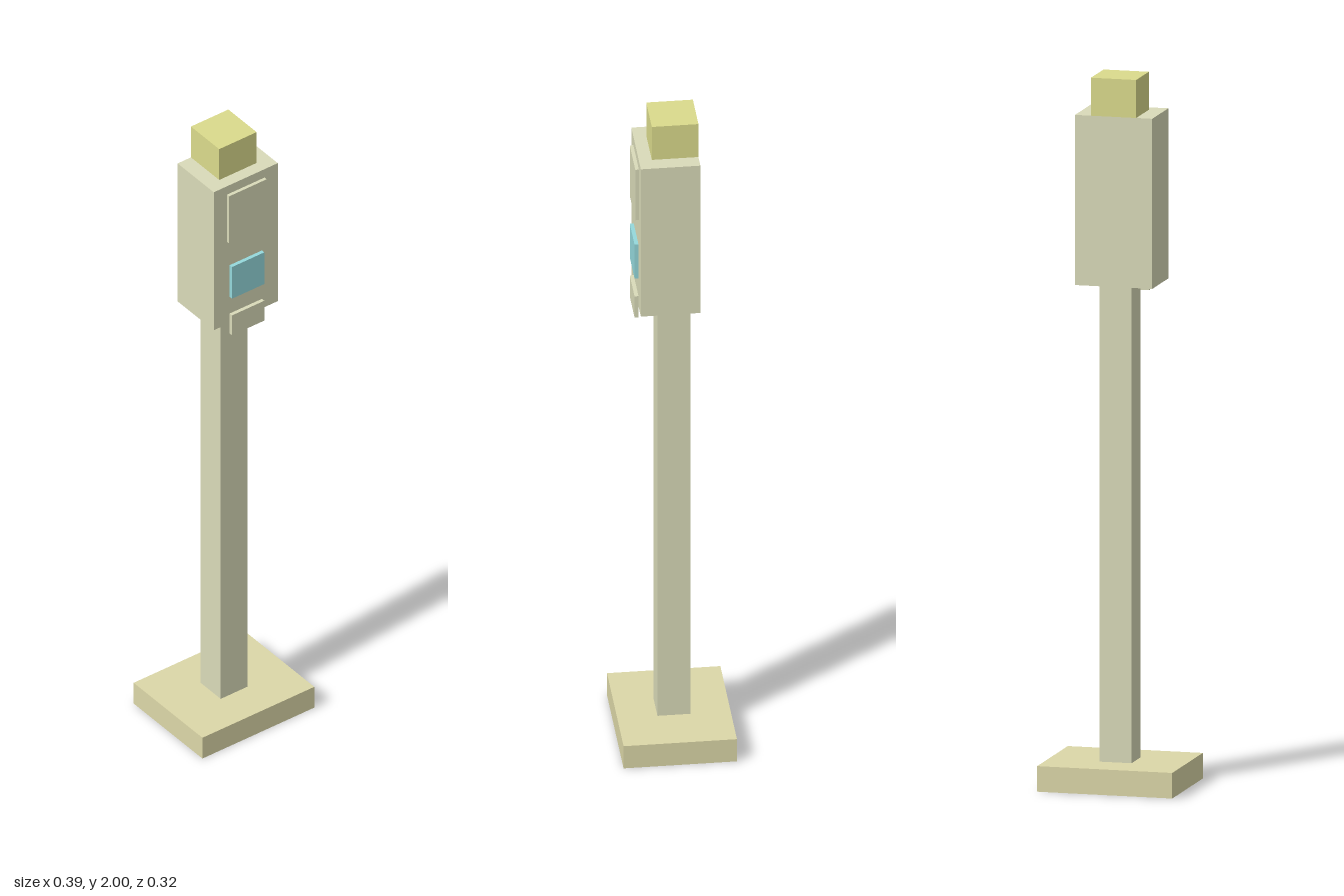
import * as THREE from 'three';

export function createModel() {
  const model = new THREE.Group();
  const paint = (color) => new THREE.MeshStandardMaterial({ color });
  const body = paint(0xdadbb9);
  const sand = paint(0xdcd7a8);
  const yellow = paint(0xdbdb8c);
  const blue = paint(0x95d9dc);

  // Box centred on x, given its width and its y and z ranges
  function addBox(name, material, width, [y0, y1], [z0, z1]) {
    const mesh = new THREE.Mesh(new THREE.BoxGeometry(width, y1 - y0, z1 - z0), material);
    mesh.position.set(0, (y0 + y1) / 2, (z0 + z1) / 2);
    mesh.name = name;
    model.add(mesh);
  }

  // Stand
  addBox('base', sand, 0.388, [0, 0.072], [-0.158, 0.158]);
  addBox('post', body, 0.092, [0.072, 1.414], [-0.046, 0.046]);

  // Head with its cap
  addBox('head', body, 0.222, [1.414, 1.893], [-0.066, 0.1]);
  addBox('cap', yellow, 0.13, [1.893, 2], [-0.066, 0.064]);

  // Thin plates on the front of the head; the lowest hangs below its edge
  addBox('upperPanel', body, 0.13, [1.7, 1.864], [0.1, 0.11]);
  addBox('screen', blue, 0.112, [1.505, 1.615], [0.1, 0.111]);
  addBox('lowerPlate', body, 0.112, [1.378, 1.447], [0.1, 0.111]);

  return model;
}
